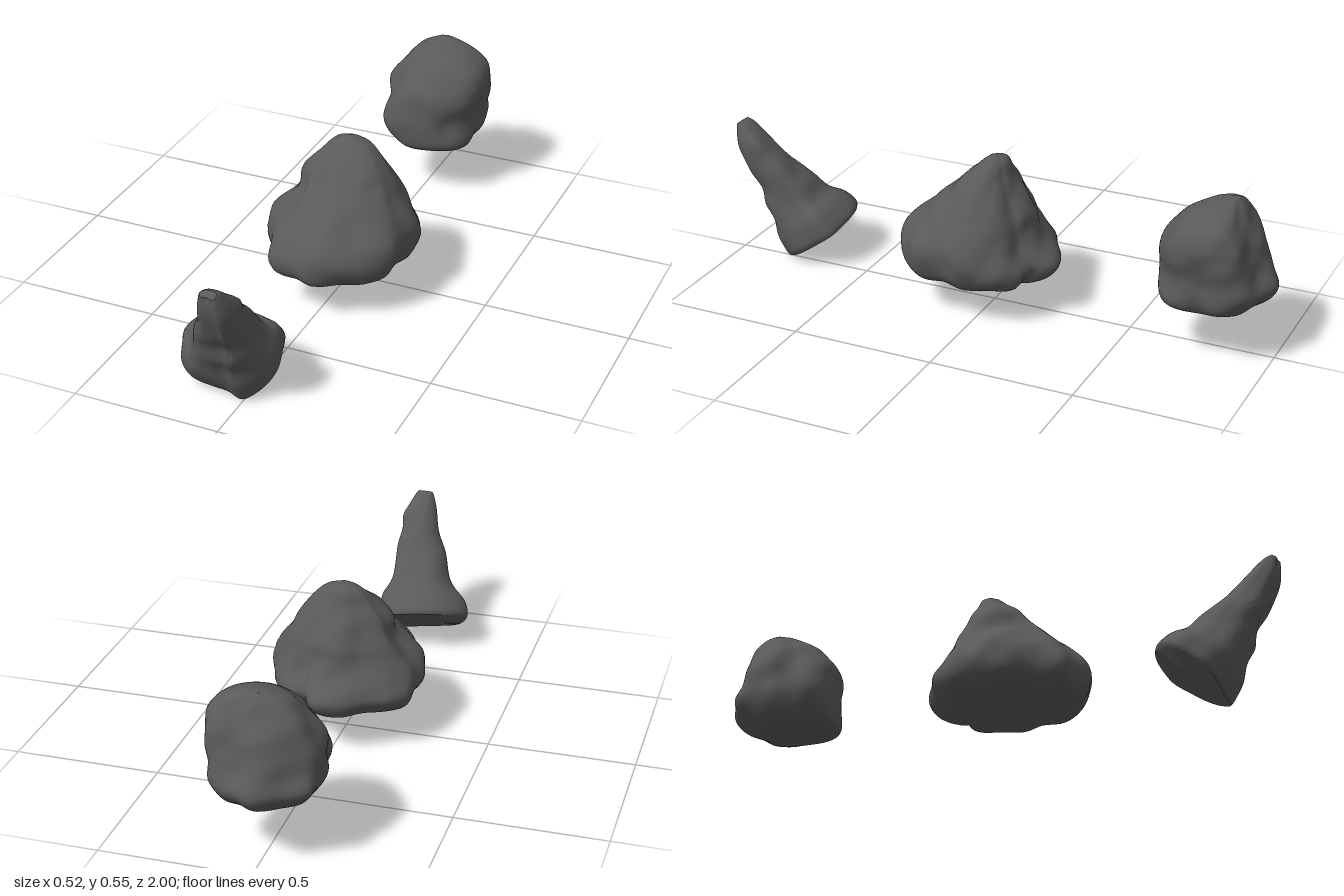
import * as THREE from 'three';
import { toCreasedNormals } from 'three/addons/utils/BufferGeometryUtils.js';

const material = new THREE.MeshStandardMaterial({ color: 0x5a5a5a });
const SEGMENTS = 88, ROWS = 48;

// Smooth, repeatable lumps
function lumps(x, y, z) {
  return Math.sin(23 * x + 9 * y + 2) * Math.sin(25 * z - 12 * y + 1)
    + 0.6 * Math.sin(41 * y + 17 * x) * Math.sin(39 * z + 21 * x + 3);
}

// Catmull-Rom through rows of numbers, spaced by row index
function sample(rows, t) {
  const f = t * (rows.length - 1), i = Math.min(Math.floor(f), rows.length - 2), s = f - i;
  const at = k => rows[Math.max(0, Math.min(rows.length - 1, k))];
  return rows[i].map((p1, c) => {
    const p0 = at(i - 1)[c], p2 = at(i + 1)[c], p3 = at(i + 2)[c];
    return p1 + 0.5 * s * (p2 - p0 + s * (2 * p0 - 5 * p1 + 4 * p2 - p3 + s * (3 * (p1 - p2) + p3 - p0)));
  });
}

// Rock skin: levels are [height, minX, maxX, minZ, maxZ], the outline gives the lobes,
// roundness fades the lobes towards the top, tilt leans the whole stack forward,
// slant drops the +x side of the base, bumps are knobs (or dents) as [x, height, z, radius, amount].
function rock(name, levels, outline, { rough, roundness, bumps, tilt = 0, slant = 0 }) {
  const xs = outline.map(p => p[0]), zs = outline.map(p => p[1]);
  const unit = (v, list) => {
    const lo = Math.min(...list), hi = Math.max(...list);
    return 2 * (v - lo) / (hi - lo) - 1;
  };
  const curve = new THREE.CatmullRomCurve3(
    outline.map(([x, z]) => new THREE.Vector3(unit(x, xs), 0, unit(z, zs))), true, 'centripetal');
  const ring = Array.from({ length: SEGMENTS }, (_, i) => curve.getPoint(i / SEGMENTS));

  const pos = [], index = [];
  const put = (x, h, z) => pos.push(x,
    h * Math.cos(tilt) - z * Math.sin(tilt), h * Math.sin(tilt) + z * Math.cos(tilt));

  for (let r = 0; r <= ROWS; r++) {
    const t = r / ROWS, k = roundness * Math.sqrt(t);
    const [h, x0, x1, z0, z1] = sample(levels, t);
    const cx = (x0 + x1) / 2, cz = (z0 + z1) / 2, rx = (x1 - x0) / 2, rz = (z1 - z0) / 2;
    const size = Math.min(1, Math.min(rx, rz) / 0.1);
    for (const p of ring) {
      const a = Math.atan2(p.z, p.x);
      const x = cx + THREE.MathUtils.lerp(p.x, Math.cos(a), k) * rx;
      const z = cz + THREE.MathUtils.lerp(p.z, Math.sin(a), k) * rz;
      let d = rough * size * (lumps(x, h, z) - 0.2);
      for (const [bx, bh, bz, radius, amount] of bumps) {
        d += amount * Math.exp(-((x - bx) ** 2 + (h - bh) ** 2 + (z - bz) ** 2) / radius ** 2);
      }
      put(x + Math.cos(a) * d, h - slant * (1 - t) * (x - cx), z + Math.sin(a) * d);
    }
  }
  for (let r = 0; r < ROWS; r++) for (let i = 0; i < SEGMENTS; i++) {
    const j = (i + 1) % SEGMENTS, a = r * SEGMENTS + i, b = r * SEGMENTS + j;
    index.push(a, a + SEGMENTS, b, b, a + SEGMENTS, b + SEGMENTS);
  }

  // End caps
  const last = ROWS * SEGMENTS, foot = pos.length / 3, tip = foot + 1;
  for (const l of [levels[0], levels[levels.length - 1]]) put((l[1] + l[2]) / 2, l[0], (l[3] + l[4]) / 2);
  for (let i = 0; i < SEGMENTS; i++) {
    const j = (i + 1) % SEGMENTS;
    index.push(foot, i, j, tip, last + j, last + i);
  }

  const geometry = new THREE.BufferGeometry();
  geometry.setAttribute('position', new THREE.Float32BufferAttribute(pos, 3));
  geometry.setIndex(index);
  const mesh = new THREE.Mesh(toCreasedNormals(geometry, 0.8), material);
  mesh.name = name;
  return mesh;
}

export function createModel() {
  const group = new THREE.Group();
  group.name = 'rocks';

  // Leaning spire with a flat, slanted base
  group.add(rock('spireRock', [
    [0.474, -0.235, 0.06, 0.405, 0.674],
    [0.495, -0.25, 0.07, 0.4, 0.676],
    [0.55, -0.23, 0.068, 0.415, 0.672],
    [0.6, -0.185, 0.055, 0.445, 0.662],
    [0.66, -0.15, 0.045, 0.452, 0.645],
    [0.72, -0.123, 0.035, 0.474, 0.612],
    [0.79, -0.095, 0.038, 0.487, 0.612],
    [0.88, -0.075, 0.04, 0.5, 0.6],
    [0.94, -0.056, 0.022, 0.515, 0.575],
    [0.963, -0.045, 0.01, 0.53, 0.562],
  ], [
    [0, -1], [0.5, -0.97], [0.87, -0.8], [0.98, -0.3], [1, 0.2], [0.87, 0.65], [0.55, 1], [0.2, 0.9],
    [-0.2, 0.9], [-0.55, 0.86], [-0.84, 0.62], [-0.96, 0.2], [-1, -0.15], [-0.8, -0.6], [-0.45, -0.9],
  ], {
    rough: 0.003, roundness: 0.1, tilt: Math.atan2(0.563, 0.827), slant: 0.13,
    bumps: [[0.03, 0.74, 0.49, 0.07, 0.018], [-0.1, 0.73, 0.6, 0.08, 0.02],
      [0.05, 0.57, 0.43, 0.05, 0.015], [0.01, 0.61, 0.65, 0.05, -0.012],
      [0.03, 0.86, 0.51, 0.03, 0.01], [-0.02, 0.96, 0.57, 0.018, -0.008]],
  }));

  // Broad middle rock with a lobed skirt
  group.add(rock('peakRock', [
    [0.115, -0.1, 0.12, -0.1, 0.15],
    [0.124, -0.18, 0.2, -0.18, 0.285],
    [0.15, -0.235, 0.24, -0.22, 0.335],
    [0.2, -0.26, 0.257, -0.235, 0.345],
    [0.26, -0.25, 0.258, -0.18, 0.32],
    [0.31, -0.21, 0.235, -0.155, 0.27],
    [0.36, -0.165, 0.2, -0.145, 0.22],
    [0.42, -0.14, 0.165, -0.105, 0.15],
    [0.48, -0.1, 0.12, -0.065, 0.085],
    [0.525, -0.055, 0.07, -0.045, 0.035],
    [0.542, -0.01, 0.02, -0.015, 0.01],
  ], [
    [0.02, -0.24], [0.07, -0.21], [0.09, -0.165], [0.16, -0.16], [0.21, -0.11], [0.255, 0], [0.23, 0.1],
    [0.235, 0.19], [0.17, 0.26], [0.1, 0.3], [0, 0.345], [-0.07, 0.315], [-0.16, 0.31], [-0.18, 0.2],
    [-0.25, 0.13], [-0.26, 0.05], [-0.235, 0], [-0.255, -0.09], [-0.2, -0.135], [-0.13, -0.165], [-0.06, -0.23],
  ], {
    rough: 0.007, roundness: 0.7,
    bumps: [[0.21, 0.14, 0.1, 0.06, -0.02], [0.1, 0.14, 0.28, 0.05, -0.015], [0.1, 0.3, 0.2, 0.06, -0.025],
      [0.09, 0.45, 0.1, 0.04, 0.014], [-0.1, 0.14, -0.19, 0.05, -0.015], [-0.1, 0.43, 0.05, 0.06, 0.018],
      [-0.2, 0.18, -0.14, 0.06, 0.012]],
  }));

  // Rounded boulder at the back
  group.add(rock('boulder', [
    [0.165, -0.05, 0.07, -0.88, -0.76],
    [0.175, -0.1, 0.12, -0.91, -0.65],
    [0.2, -0.14, 0.16, -0.955, -0.605],
    [0.26, -0.17, 0.18, -0.998, -0.6],
    [0.32, -0.168, 0.18, -0.972, -0.6],
    [0.38, -0.17, 0.195, -0.95, -0.61],
    [0.43, -0.15, 0.202, -0.935, -0.633],
    [0.48, -0.115, 0.185, -0.91, -0.675],
    [0.525, -0.065, 0.125, -0.885, -0.745],
    [0.55, -0.01, 0.05, -0.86, -0.82],
  ], [
    [0.01, -1], [0.07, -0.97], [0.15, -0.955], [0.19, -0.89], [0.198, -0.82], [0.2, -0.75], [0.165, -0.665],
    [0.09, -0.615], [0, -0.6], [-0.08, -0.615], [-0.135, -0.66], [-0.145, -0.71], [-0.175, -0.77],
    [-0.17, -0.84], [-0.165, -0.92], [-0.08, -0.965],
  ], {
    rough: 0.006, roundness: 0.5,
    bumps: [[-0.13, 0.44, -0.67, 0.08, -0.025], [-0.12, 0.29, -0.66, 0.07, 0.024],
      [-0.11, 0.18, -0.9, 0.07, -0.025], [-0.09, 0.18, -0.66, 0.05, -0.02],
      [0.17, 0.36, -0.92, 0.07, 0.02], [0.17, 0.28, -0.8, 0.04, -0.018],
      [0.12, 0.29, -0.63, 0.05, -0.015], [0.14, 0.22, -0.72, 0.05, 0.012]],
  }));

  return group;
}
